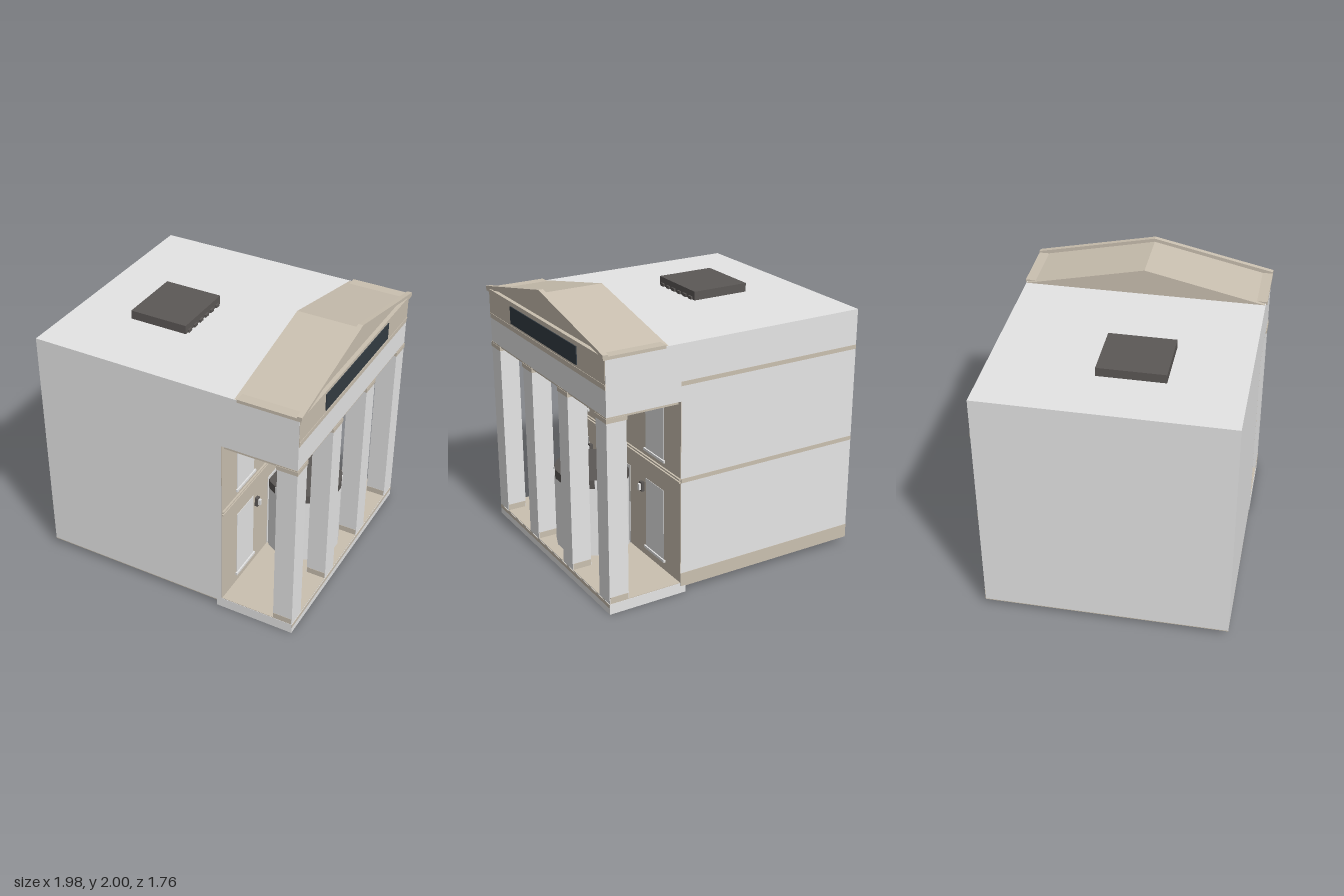
import * as THREE from 'three';

const mat = (name, color) => Object.assign(new THREE.MeshStandardMaterial({ color }), { name });

export function createModel() {
  const stone = mat('pale grey stone', 0xe5e5e5);
  const tan = mat('tan trim', 0xcac0b0);
  const dark = mat('dark metal', 0x5c5856);
  const navy = mat('navy sign', 0x343c43);
  const model = new THREE.Group();
  model.name = 'porticoBuilding';

  const add = (name, geometry, material) => {
    const mesh = new THREE.Mesh(geometry, material);
    mesh.name = name;
    model.add(mesh);
    return mesh;
  };
  // Box given by its minimum and maximum on each axis
  const box = (name, material, x0, x1, y0, y1, z0, z1) => {
    const mesh = add(name, new THREE.BoxGeometry(x1 - x0, y1 - y0, z1 - z0), material);
    mesh.position.set((x0 + x1) / 2, (y0 + y1) / 2, (z0 + z1) / 2);
    return mesh;
  };
  // Outline in (z, y), symmetric about z = 0, extruded along x
  const extrudeX = (name, material, points, x0, x1) => {
    const shape = new THREE.Shape(points.map(p => new THREE.Vector2(...p)));
    const geometry = new THREE.ExtrudeGeometry(shape, { depth: x1 - x0, bevelEnabled: false });
    geometry.rotateY(Math.PI / 2).translate(x0, 0, 0);
    return add(name, geometry, material);
  };

  // Main hall
  box('hall', stone, -0.99, 0.42, 0.053, 1.785, -0.87, 0.87);
  box('hallUnderside', tan, -0.99, 0.38, 0.047, 0.053, -0.87, 0.87);
  for (const [y0, y1] of [[0.053, 0.15], [0.82, 0.85], [1.5, 1.53]]) {
    box('sideBand', tan, -0.99, 0.42, y0, y1, -0.872, -0.869);
  }

  // Portico floor and entablature
  box('porticoBase', stone, 0.38, 0.965, 0, 0.076, -0.87, 0.87);
  box('porticoFloor', tan, 0.42, 0.963, 0.076, 0.08, -0.868, 0.868);
  box('stepStripe', tan, 0.964, 0.967, 0.048, 0.074, -0.868, 0.868);
  box('entablature', stone, 0.42, 0.965, 1.395, 1.785, -0.87, 0.87);
  box('soffit', tan, 0.44, 0.96, 1.381, 1.395, -0.869, 0.869);
  box('frieze', tan, 0.964, 0.968, 1.575, 1.785, -0.868, 0.868);
  box('friezeMoulding', tan, 0.964, 0.971, 1.603, 1.612, -0.868, 0.868);
  box('signPanel', navy, 0.968, 0.975, 1.63, 1.755, -0.5, 0.5);

  // Square columns with capitals and tan foot strips
  for (const z of [-0.8, -0.27, 0.27, 0.8]) {
    box('column', stone, 0.822, 0.965, 0.08, 1.36, z - 0.07, z + 0.07);
    box('capital', tan, 0.816, 0.969, 1.357, 1.387, z - 0.075, z + 0.075);
    box('capitalTop', tan, 0.82, 0.966, 1.387, 1.396, z - 0.072, z + 0.072);
    box('columnFoot', tan, 0.824, 0.961, 0.08, 0.125, z - 0.072, z + 0.072);
  }

  // Entrance wall with windows, sills and belt course
  box('entranceWall', tan, 0.42, 0.424, 0.08, 1.395, -0.87, 0.87);
  for (const y of [0.82, 0.842]) box('beltCourse', tan, 0.42, 0.437, y, y + 0.011, -0.87, 0.87);
  for (const z of [-0.54, 0, 0.54]) {
    box('upperWindow', stone, 0.424, 0.427, 0.905, 1.36, z - 0.12, z + 0.12);
    box('upperSill', stone, 0.42, 0.437, 0.889, 0.907, z - 0.135, z + 0.135);
  }
  for (const z of [-0.54, 0.54]) {
    box('lowerWindow', stone, 0.424, 0.427, 0.16, 0.68, z - 0.12, z + 0.12);
    box('lowerSill', stone, 0.42, 0.437, 0.142, 0.16, z - 0.135, z + 0.135);
  }
  box('doorPanel', stone, 0.424, 0.427, 0.08, 0.69, -0.2, 0.2);

  // Wall lanterns: dark back plate and a pale lamp
  for (const z of [-0.38, 0.38]) {
    box('lanternPlate', dark, 0.424, 0.447, 0.57, 0.64, z - 0.017, z + 0.017);
    box('lanternLamp', stone, 0.447, 0.465, 0.583, 0.628, z - 0.01, z + 0.01);
  }

  // Round faceted vestibule, set into the wall, with a dark crown
  const drum = (name, material, r, y0, y1) => {
    const geometry = new THREE.CylinderGeometry(r, r, y1 - y0, 18).toNonIndexed();
    geometry.computeVertexNormals();
    add(name, geometry, material).position.set(0.62, (y0 + y1) / 2, 0);
  };
  drum('vestibule', stone, 0.27, 0.08, 0.6);
  drum('vestibuleCrown', dark, 0.27, 0.6, 0.665);
  for (let i = 0; i < 8; i++) {
    const a = (i + 0.5) * Math.PI / 4;
    const post = add('crownPost', new THREE.BoxGeometry(0.018, 0.064, 0.012), stone);
    post.position.set(0.62 + Math.sin(a) * 0.266, 0.632, Math.cos(a) * 0.266);
    post.rotation.y = a;
  }

  // Pediment roof, cornice and stepped raking trim
  extrudeX('pedimentRoof', tan, [[-0.865, 1.785], [0.865, 1.785], [0, 1.975]], 0.513, 0.953);
  box('cornice', tan, 0.537, 0.982, 1.776, 1.798, -0.88, 0.88);
  extrudeX('rakingCornice', tan, [[-0.88, 1.788], [-0.82, 1.8], [0, 1.979],
    [0.82, 1.8], [0.88, 1.788], [0.88, 1.81], [0, 2], [-0.88, 1.81]], 0.95, 0.985);
  extrudeX('rakingMoulding', tan, [[-0.84, 1.796], [-0.77, 1.796], [0, 1.963],
    [0.77, 1.796], [0.84, 1.796], [0, 1.981]], 0.95, 0.97);

  // Rooftop unit with vents along one side
  box('rooftopUnit', dark, -0.572, -0.143, 1.785, 1.848, -0.13, 0.342);
  for (let i = 0; i < 6; i++) {
    const z = -0.08 + i * 0.075;
    box('rooftopVent', dark, -0.143, -0.132, 1.785, 1.807, z - 0.02, z + 0.02);
  }
  return model;
}
